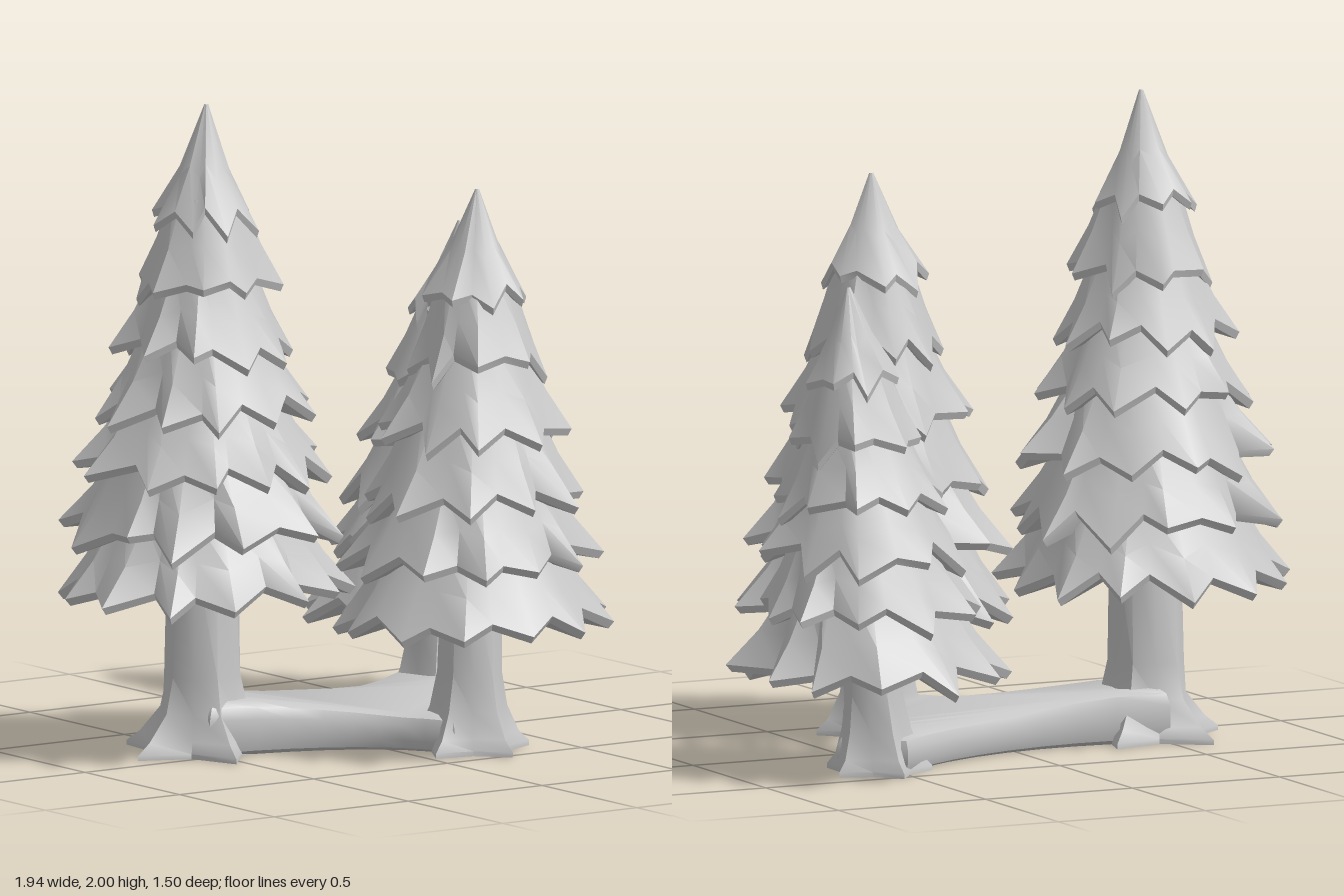
import * as THREE from 'three';
import { toCreasedNormals } from 'three/addons/utils/BufferGeometryUtils.js';

let seed = 7;
const rand = () => (seed = (seed * 16807) % 2147483647) / 2147483647;
const vary = (a) => (rand() * 2 - 1) * a;

// each tier: [rim height, rim radius]; base and tip are [x, z]
const TREES = [
  { name: 'tallTree', base: [-0.49, -0.11], tip: [-0.47, -0.11], height: 2, trunk: 0.115, foot: 0.26, turn: 0.5,
    tiers: [[0.5, 0.48], [0.68, 0.45], [0.87, 0.41], [1.06, 0.35], [1.25, 0.29], [1.43, 0.24], [1.65, 0.175]] },
  { name: 'middleTree', base: [0.2, 0.33], tip: [0.23, 0.33], height: 1.73, trunk: 0.1, foot: 0.2, turn: 0.2,
    tiers: [[0.4, 0.46], [0.59, 0.41], [0.77, 0.37], [0.98, 0.31], [1.19, 0.235], [1.4, 0.18]] },
  { name: 'smallTree', base: [0.55, -0.36], tip: [0.645, -0.35], height: 1.5, trunk: 0.09, foot: 0.17, turn: 0.9,
    tiers: [[0.31, 0.44], [0.5, 0.39], [0.67, 0.34], [0.83, 0.29], [1.01, 0.225], [1.2, 0.16]] },
];

// skin over rings of points listed from top to bottom
function loft(rings, crease) {
  const n = rings[0].length, index = [];
  for (let i = 0; i < rings.length - 1; i++) {
    for (let j = 0; j < n; j++) {
      const k = (j + 1) % n;
      const a = i * n + j, b = i * n + k, c = a + n, d = b + n;
      index.push(a, b, c, b, d, c);
    }
  }
  const geometry = new THREE.BufferGeometry();
  geometry.setAttribute('position', new THREE.Float32BufferAttribute(rings.flat(2), 3));
  geometry.setIndex(index);
  return toCreasedNormals(geometry, crease);
}

function axisAt(tree, y) {
  const t = y / tree.height;
  return [0, 1].map((i) => tree.base[i] + (tree.tip[i] - tree.base[i]) * t);
}

// jagged skirt of drooping leaves with a thin lip and a closed underside
function tierGeometry(tree, level) {
  const [rimY, rimR] = tree.tiers[level];
  const next = tree.tiers[level + 1];
  const topY = next ? next[0] + 0.07 : tree.height;
  const topR = next ? next[1] * 0.62 : 0.006;
  const [cx, cz] = axisAt(tree, rimY);
  const [tx, tz] = axisAt(tree, topY);
  const leaves = Math.round(5 + rimR * 16);
  const start = rand() * 6;
  const rings = [[], [], [], [], []];
  for (let j = 0; j < leaves * 2; j++) {
    const isTip = j % 2 === 0;
    const angle = start + ((j + vary(0.32)) / leaves) * Math.PI;
    const c = Math.cos(angle), s = Math.sin(angle);
    const r = rimR * (isTip ? 0.94 + vary(0.08) : 0.77 + vary(0.05));
    const y = rimY + (isTip ? vary(0.035) : 0.045 + vary(0.02));
    const midR = topR + (r - topR) * (isTip ? 0.47 : 0.5);
    const midY = y + (topY - y) * (next ? 0.46 : 0.42);
    rings[0].push([tx + c * topR, topY, tz + s * topR]);
    rings[1].push([cx + (tx - cx) * 0.5 + c * midR, midY, cz + (tz - cz) * 0.5 + s * midR]);
    rings[2].push([cx + c * r, y, cz + s * r]);
    rings[3].push([cx + c * r * 0.96, y - 0.022, cz + s * r * 0.96]);
    rings[4].push([cx + c * 0.06, rimY + 0.05, cz + s * 0.06]);
  }
  return loft(rings, 0.6);
}

// straight trunk that spreads into five pointed roots
function trunkGeometry(tree) {
  const { trunk: r, foot } = tree;
  const topY = tree.tiers[0][0] + 0.12;
  // [height, radius between roots, radius along roots]
  const profile = [
    [topY, r * 0.95, r * 0.95], [0.24, r, r * 1.03], [0.13, r * 1.03, r * 1.25],
    [0.05, r * 1.15, foot * 0.82], [0.015, r * 1.25, foot], [0, r * 1.25, foot], [0, 0.003, 0.003],
  ];
  const rings = profile.map(([y, inner, outer]) => {
    const [cx, cz] = axisAt(tree, y);
    return Array.from({ length: 10 }, (_, j) => {
      const angle = tree.turn + (j * Math.PI) / 5;
      const radius = j % 2 ? inner : outer;
      return [cx + Math.cos(angle) * radius, y, cz + Math.sin(angle) * radius];
    });
  });
  return loft(rings, 0.7);
}

// low three-armed root joining the trunks, with hollow sides
function rootGeometry() {
  const hub = new THREE.Vector2(0.08, 0);
  const shape = new THREE.Shape();
  const order = [TREES[0], TREES[2], TREES[1]];
  const corners = order.map((tree) => {
    const base = new THREE.Vector2(...tree.base);
    const out = base.clone().sub(hub).normalize();
    const side = new THREE.Vector2(-out.y, out.x).multiplyScalar(tree.trunk * 0.95);
    return { out, enter: base.clone().sub(side), leave: base.clone().add(side) };
  });
  shape.moveTo(corners[0].enter.x, corners[0].enter.y);
  corners.forEach((corner, i) => {
    const following = corners[(i + 1) % 3];
    const pull = corner.out.clone().add(following.out).multiplyScalar(0.1).add(hub);
    shape.lineTo(corner.leave.x, corner.leave.y);
    shape.quadraticCurveTo(pull.x, pull.y, following.enter.x, following.enter.y);
  });
  const geometry = new THREE.ExtrudeGeometry(shape, {
    depth: 0.045, bevelThickness: 0.035, bevelSize: 0.035, bevelSegments: 2, curveSegments: 8,
  });
  geometry.rotateX(Math.PI / 2).translate(0, 0.08, 0);

  // swell towards the tall tree
  const p = geometry.attributes.position;
  for (let i = 0; i < p.count; i++) {
    const near = Math.max(0, 1 - Math.hypot(p.getX(i) + 0.49, p.getZ(i) + 0.11) / 0.6);
    p.setY(i, p.getY(i) * (1 + near * 0.6));
  }
  return toCreasedNormals(geometry, 0.7);
}

export function createModel() {
  const model = new THREE.Group();
  model.name = 'pineTrees';
  const grey = new THREE.MeshStandardMaterial({ color: 0xc8c8c8 });
  grey.name = 'lightGrey';
  const add = (parent, name, geometry) => {
    const mesh = new THREE.Mesh(geometry, grey);
    mesh.name = name;
    parent.add(mesh);
  };

  for (const tree of TREES) {
    const group = new THREE.Group();
    group.name = tree.name;
    add(group, 'trunk', trunkGeometry(tree));
    tree.tiers.forEach((_, i) => add(group, `foliageTier${i + 1}`, tierGeometry(tree, i)));
    model.add(group);
  }
  add(model, 'joiningRoot', rootGeometry());
  return model;
}
